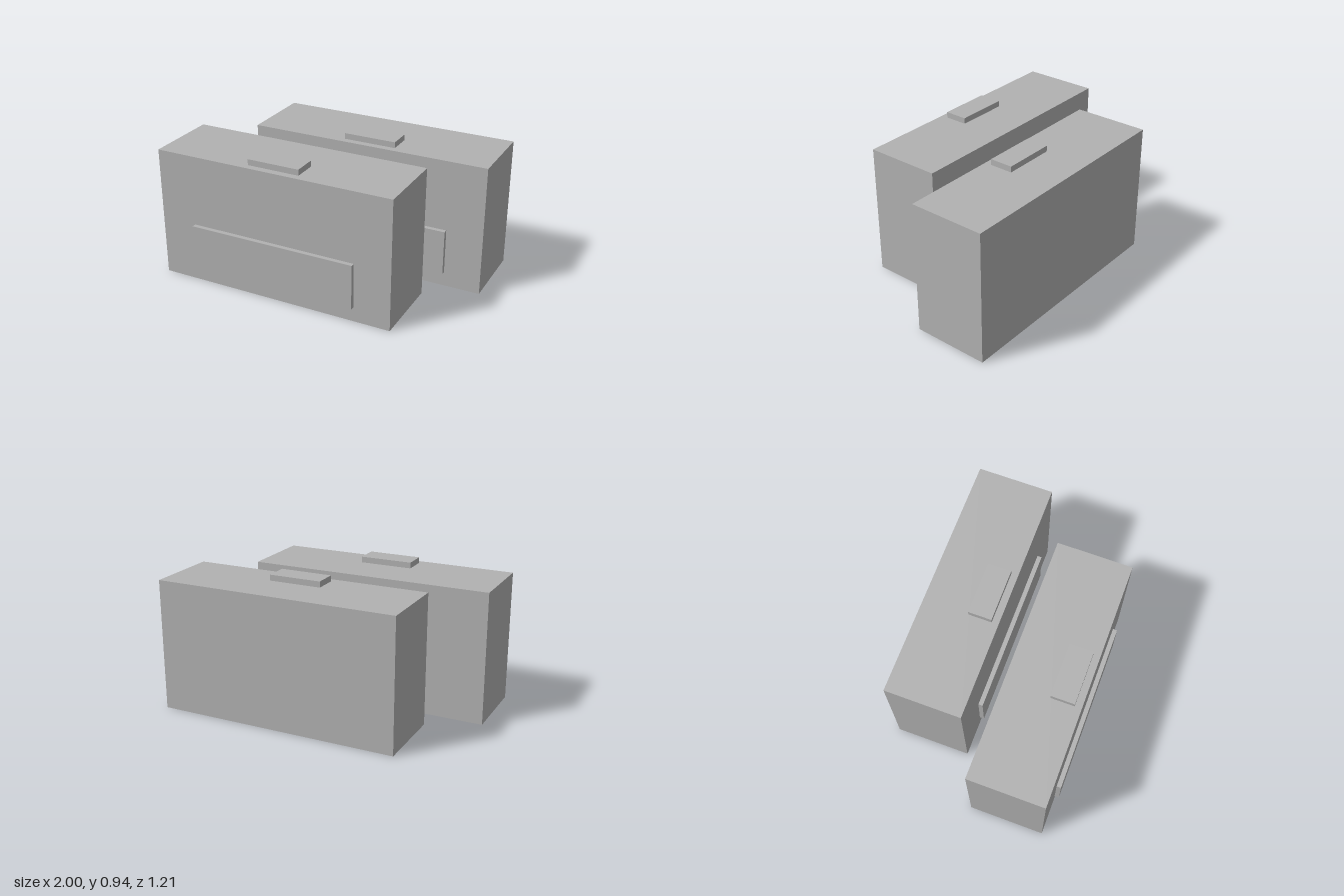
import * as THREE from 'three';

const grey = new THREE.MeshStandardMaterial({ color: 0xb2b2b2 });
grey.name = 'grey';

// Box standing on height y, centred on x = 0
function block(name, width, height, depth, y, z) {
  const mesh = new THREE.Mesh(new THREE.BoxGeometry(width, height, depth), grey);
  mesh.name = name;
  mesh.position.set(0, y + height / 2, z);
  return mesh;
}

// One unit: tall body, raised front panel and a small block on top
function createUnit(name) {
  const unit = new THREE.Group();
  unit.name = name;
  unit.add(
    block('body', 1.66, 0.895, 0.51, 0, 0),
    block('frontPanel', 1.16, 0.31, 0.03, 0.1, 0.27),
    block('topBlock', 0.36, 0.04, 0.157, 0.895, 0.13)
  );
  return unit;
}

export function createModel() {
  const model = new THREE.Group();
  model.name = 'twinUnits';

  // Two identical units, staggered sideways
  const front = createUnit('frontUnit');
  front.position.set(-0.17, 0, 0.32);
  const rear = createUnit('rearUnit');
  rear.position.set(0.17, 0, -0.35);

  model.add(front, rear);
  return model;
}
